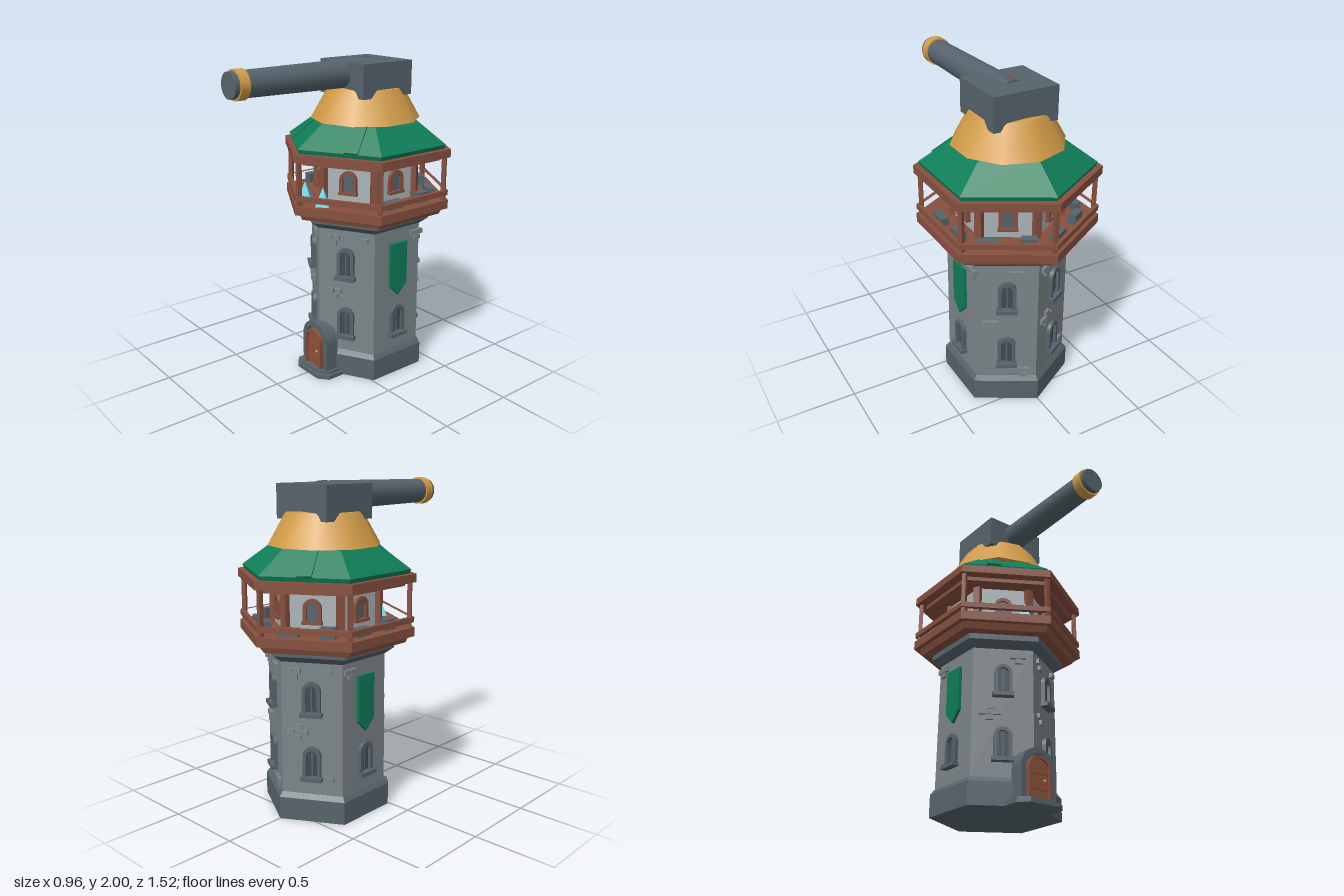
import * as THREE from 'three';

const CZ = -0.21; // tower axis
const mat = (name, color) => {
  const m = new THREE.MeshStandardMaterial({ color });
  m.name = name;
  return m;
};

export function createModel() {
  const root = new THREE.Group();
  root.name = 'cannonTower';
  const stone = mat('stone', 0x7c8589), slate = mat('slate', 0x56636c), dark = mat('darkSlate', 0x3f4b55),
    plaster = mat('plaster', 0xabb4b7), wood = mat('wood', 0x87503f), door = mat('doorWood', 0x8f5138),
    gold = mat('gold', 0xd29c48), green = mat('green', 0x0f7d58), cyan = mat('crystal', 0x48c8da);

  const add = (parent, name, geo, material, x = 0, y = 0, z = 0) => {
    const m = new THREE.Mesh(geo, material);
    m.name = name;
    m.position.set(x, y, z);
    parent.add(m);
    return m;
  };
  const box = (p, name, w, h, d, material, x, y, z) =>
    add(p, name, new THREE.BoxGeometry(w, h, d), material, x, y, z);
  const flat = (g) => {
    const n = g.toNonIndexed();
    n.computeVertexNormals();
    return n;
  };
  // solid hexagonal section with a corner toward the front
  const hex = (name, rBottom, rTop, y0, y1, material) =>
    add(root, name, flat(new THREE.CylinderGeometry(rTop, rBottom, y1 - y0, 6)), material, 0, (y0 + y1) / 2, CZ);
  const hexPath = (P, r) => {
    const p = new P();
    for (let i = 0; i < 6; i++) {
      const a = i * Math.PI / 3;
      p[i ? 'lineTo' : 'moveTo'](Math.sin(a) * r, Math.cos(a) * r);
    }
    p.closePath();
    return p;
  };
  const hexRing = (name, rOut, rIn, y0, y1, material) => {
    const s = hexPath(THREE.Shape, rOut);
    s.holes.push(hexPath(THREE.Path, rIn));
    const g = new THREE.ExtrudeGeometry(s, { depth: y1 - y0, bevelEnabled: false }).rotateX(-Math.PI / 2);
    return add(root, name, g, material, 0, y0, CZ);
  };
  // local frame on a tower face: x along the wall, z outward
  const onFace = (deg, apothem, name) => {
    const a = deg * Math.PI / 180, g = new THREE.Group();
    g.name = name;
    g.position.set(Math.sin(a) * apothem, 0, CZ + Math.cos(a) * apothem);
    g.rotation.y = a;
    root.add(g);
    return g;
  };
  // round-topped outline standing on y = 0
  const archPath = (P, w, h) => {
    const p = new P();
    p.moveTo(-w / 2, 0);
    p.lineTo(w / 2, 0);
    p.lineTo(w / 2, h - w / 2);
    p.absarc(0, h - w / 2, w / 2, 0, Math.PI, false);
    p.closePath();
    return p;
  };
  const arch = (p, name, w, h, t, d, material, y, z, x = 0) => {
    const s = archPath(THREE.Shape, w, h);
    if (t) s.holes.push(archPath(THREE.Path, w - 2 * t, h - t));
    return add(p, name, new THREE.ExtrudeGeometry(s, { depth: d, bevelEnabled: false, curveSegments: 7 }), material, x, y, z);
  };

  // stone body
  hex('basePlinth', 0.4, 0.4, 0, 0.14, slate);
  hex('baseBevel', 0.4, 0.375, 0.14, 0.17, slate);
  hex('shaft', 0.372, 0.368, 0.17, 0.99, stone);
  hex('corniceSlope', 0.37, 0.425, 0.98, 1.02, slate);
  hex('corniceTop', 0.425, 0.425, 1.02, 1.06, slate);

  // shaft windows
  const windowAt = (f, y) => {
    arch(f, 'windowFrame', 0.11, 0.19, 0.022, 0.03, slate, y + 0.02, -0.005);
    arch(f, 'windowPane', 0.07, 0.17, 0, 0.006, dark, y + 0.025, 0);
    box(f, 'windowMullion', 0.01, 0.15, 0.006, slate, 0, y + 0.1, 0.008);
    box(f, 'windowSill', 0.13, 0.025, 0.05, slate, 0, y + 0.012, 0.02);
  };
  // raised bricks, laid as small staggered groups
  const bricks = (f, u, y, rows) => rows.forEach((row, j) => row.forEach((dx) =>
    box(f, 'brick', 0.045, 0.03, 0.03, stone, u + dx, y - j * 0.033, 0.004)));
  const pair = [[-0.025, 0.025], [0.005]], cross = [[0.01], [-0.04, 0.01, 0.045], [0]], single = [[0]];
  const brickPlan = {
    30: [[-0.09, 0.93, pair], [0.12, 0.93, single], [-0.08, 0.575, pair]],
    90: [[0.15, 0.93, pair]],
    150: [[0.06, 0.93, pair], [-0.1, 0.575, pair], [0.1, 0.22, pair]],
    210: [[-0.11, 0.93, pair], [0.1, 0.93, single], [-0.09, 0.59, cross], [0.11, 0.27, single]],
    270: [[-0.13, 0.93, pair]],
    330: [[0.09, 0.93, pair], [-0.08, 0.595, cross]],
  };
  for (let deg = 30; deg < 360; deg += 60) {
    const f = onFace(deg, 0.32, 'shaftFace');
    const side = deg === 90 || deg === 270;
    windowAt(f, 0.26);
    if (!side) windowAt(f, 0.66);
    else {
      const s = new THREE.Shape([[-0.068, 0.89], [-0.068, 0.61], [0, 0.54], [0.068, 0.61], [0.068, 0.89]]
        .map(([x, y]) => new THREE.Vector2(x, y)));
      add(f, 'banner', new THREE.ExtrudeGeometry(s, { depth: 0.02, bevelEnabled: false }), green);
    }
    brickPlan[deg].forEach(([u, y, rows]) => bricks(f, u, y, rows));
  }

  // entrance
  arch(root, 'doorSurround', 0.25, 0.325, 0.035, 0.09, slate, 0.02, 0.11);
  arch(root, 'doorInfill', 0.2, 0.3, 0, 0.08, slate, 0.02, 0.1);
  arch(root, 'doorFrame', 0.165, 0.265, 0.02, 0.035, wood, 0.03, 0.185);
  arch(root, 'doorLeaf', 0.13, 0.25, 0, 0.02, door, 0.03, 0.185);
  for (const y of [0.1, 0.19]) box(root, 'doorBand', 0.12, 0.014, 0.008, wood, 0, y, 0.208);
  add(root, 'doorKnob', new THREE.SphereGeometry(0.009, 8, 6), gold, 0.035, 0.15, 0.212);
  const step = (w, z, h) => {
    const s = new THREE.Shape([[-w, 0], [w, 0], [w, -z + 0.05], [w - 0.06, -z], [-w + 0.06, -z], [-w, -z + 0.05]]
      .map(([x, y]) => new THREE.Vector2(x, y)));
    add(root, 'doorStep', new THREE.ExtrudeGeometry(s, { depth: h, bevelEnabled: false }).rotateX(-Math.PI / 2), slate);
  };
  step(0.165, 0.26, 0.025);
  step(0.145, 0.24, 0.04);

  // balcony
  hex('deckLower', 0.495, 0.515, 1.055, 1.1, wood);
  hex('deckUpper', 0.548, 0.548, 1.095, 1.15, wood);
  hexRing('handRail', 0.545, 0.515, 1.18, 1.212, wood);
  hexRing('ceilingBeam', 0.485, 0.45, 1.395, 1.425, wood);
  hex('eaves', 0.553, 0.553, 1.42, 1.47, wood);
  hex('upperRoom', 0.325, 0.325, 1.15, 1.42, plaster);
  for (let i = 0; i < 6; i++) {
    const a = i * Math.PI / 3, s = Math.sin(a), c = Math.cos(a);
    box(root, 'balconyPost', 0.026, 0.27, 0.026, wood, s * 0.515, 1.285, CZ + c * 0.515).rotation.y = a;
    box(root, 'roomColumn', 0.045, 0.27, 0.045, wood, s * 0.323, 1.285, CZ + c * 0.323).rotation.y = a;

    const f = onFace(30 + i * 60, 0.2815, 'roomFace');
    arch(f, 'roomWindowFrame', 0.11, 0.14, 0.022, 0.025, wood, 1.21, -0.003);
    arch(f, 'roomWindowPane', 0.07, 0.12, 0, 0.006, slate, 1.215, 0);
    box(f, 'roomWindowSill', 0.12, 0.018, 0.035, wood, 0, 1.21, 0.012);
    // stone blocks lying on the deck
    if (i > 0 && i < 5) {
      box(f, 'deckBlock', 0.12, 0.05, 0.05, slate, -0.11, 1.172, 0.11);
      box(f, 'deckBlock', 0.09, 0.065, 0.05, slate, 0.12, 1.18, 0.11);
    }
  }
  for (const x of [-0.09, 0.09])
    add(root, 'crystal', flat(new THREE.ConeGeometry(0.06, 0.115, 4)), cyan, x, 1.207, 0.195);

  // roof
  hex('roofEdge', 0.51, 0.522, 1.465, 1.495, green);
  hex('roofSlope', 0.522, 0.335, 1.495, 1.63, green);
  const pitch = Math.atan2(0.135, 0.162);
  for (const [deg, u] of [[30, 0.075], [330, -0.075], [210, 0]]) {
    const f = onFace(deg, 0.371, 'roofPatch');
    box(f, 'roofShingle', 0.085, 0.02, 0.21, green, u, 1.563, 0).rotation.x = pitch;
  }

  // turret and cannon
  add(root, 'turretSkirt', new THREE.CylinderGeometry(0.23, 0.34, 0.195, 10), gold, 0, 1.7275, CZ);
  add(root, 'turretCap', new THREE.ConeGeometry(0.23, 0.03, 10), gold, 0, 1.84, CZ);
  box(root, 'turretBlock', 0.412, 0.205, 0.382, slate, 0, 1.8825, CZ);
  const tube = (name, rFront, rBack, z0, z1, material) => {
    const g = new THREE.CylinderGeometry(rFront, rBack, z1 - z0, 24).rotateX(Math.PI / 2);
    return add(root, name, g, material, 0, 1.912, (z0 + z1) / 2);
  };
  tube('cannonBarrel', 0.076, 0.088, -0.25, 0.76, slate);
  tube('muzzleRing', 0.087, 0.087, 0.67, 0.73, gold);
  box(root, 'roofFinialTip', 0.03, 0.02, 0.022, wood, 0, 1.992, CZ);
  return root;
}
